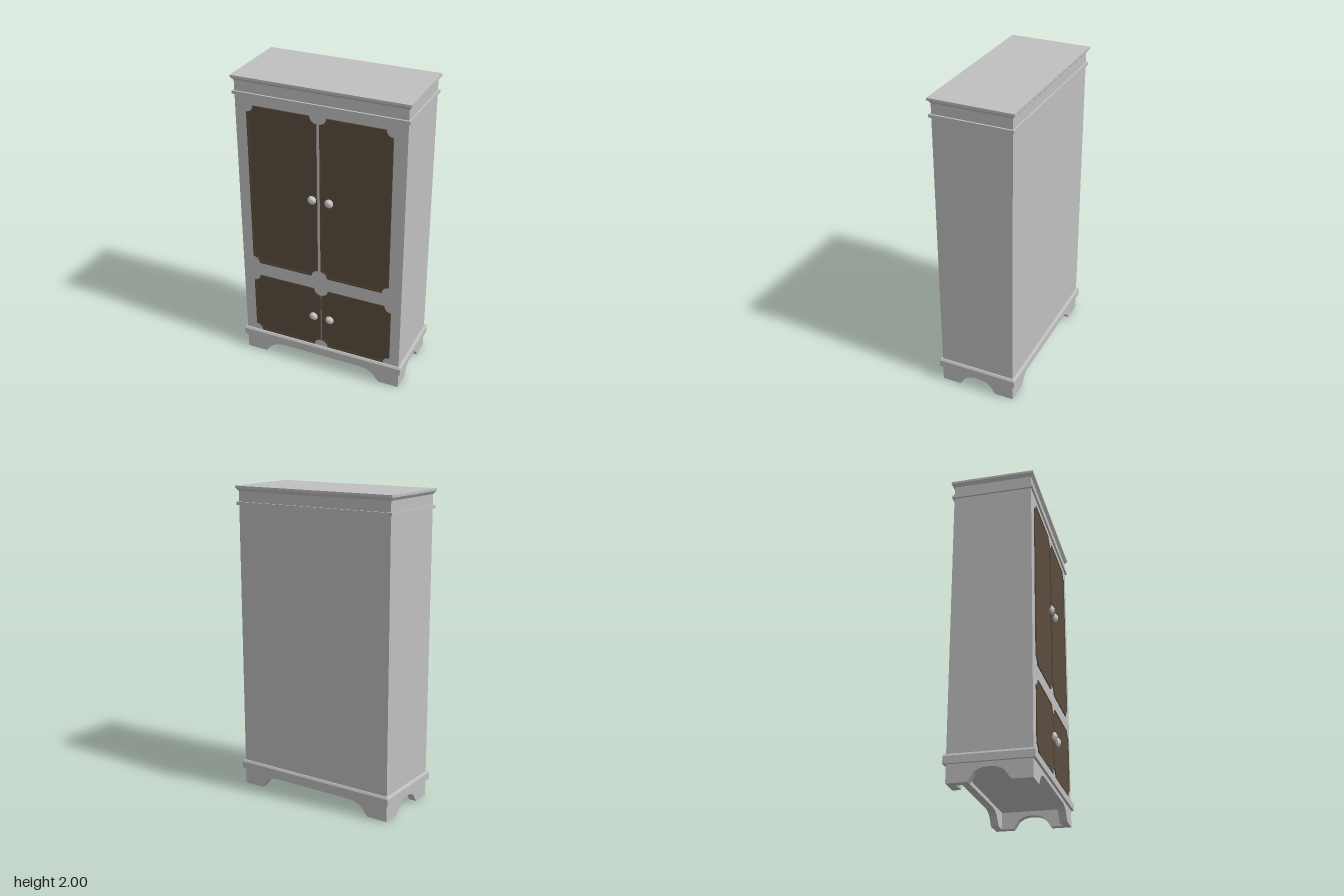
import * as THREE from 'three';

const paint = new THREE.MeshStandardMaterial({ color: 0xc0c0c0 });
paint.name = 'grey paint';
const wood = new THREE.MeshStandardMaterial({ color: 0x5b4d3f });
wood.name = 'brown wood';
const knobMat = new THREE.MeshStandardMaterial({ color: 0xd4d4d4, flatShading: true });
knobMat.name = 'pale knob';

const HX = 0.553, HZ = 0.25, CZ = -0.012; // carcass half width, half depth, centre
const FRONT = CZ + HZ;

function add(group, name, geo, mat, x = 0, y = 0, z = 0) {
  const m = new THREE.Mesh(geo, mat);
  m.name = name;
  m.position.set(x, y, z);
  group.add(m);
  return m;
}

// Box from y0 to y1 that overhangs the carcass by o0 at the bottom and o1 at the top
function course(group, name, y0, y1, o0, o1) {
  const g = new THREE.BoxGeometry(2, y1 - y0, 2).toNonIndexed();
  const p = g.attributes.position;
  for (let i = 0; i < p.count; i++) {
    const o = p.getY(i) > 0 ? o1 : o0;
    p.setX(i, p.getX(i) * (HX + o));
    p.setZ(i, p.getZ(i) * (HZ + o));
  }
  g.computeVertexNormals();
  add(group, name, g, paint, 0, (y0 + y1) / 2, CZ);
}

// Skirt board with an arched cut-out between two feet
function skirt(half, open, flat, rise, thick) {
  const s = new THREE.Shape();
  s.moveTo(-half, 0);
  s.lineTo(-open, 0);
  const n = 4, run = open - flat;
  const arc = [[0.2, 0.35], [0.38, 0.66], [0.65, 0.88], [1, 1]];
  for (let i = 0; i < n; i++) s.lineTo(-open + run * arc[i][0], rise * arc[i][1]);
  for (let i = n - 1; i >= 0; i--) s.lineTo(open - run * arc[i][0], rise * arc[i][1]);
  s.lineTo(open, 0);
  s.lineTo(half, 0);
  s.lineTo(half, 0.115);
  s.lineTo(-half, 0.115);
  s.closePath();
  return new THREE.ExtrudeGeometry(s, { depth: thick, bevelEnabled: false });
}

// Rectangle with scooped corners, inset by d
function scooped(Type, x0, x1, y0, y1, d) {
  const r = 0.045, a = Math.asin(d / (r + d)), R = r + d;
  const s = new Type();
  const corners = [[x0, y0, 0], [x1, y0, 1], [x1, y1, 2], [x0, y1, 3]];
  const pts = [];
  for (const [cx, cy, q] of corners) {
    for (let i = 0; i <= 6; i++) {
      const t = q * Math.PI / 2 + Math.PI / 2 - a - (Math.PI / 2 - 2 * a) * (i / 6);
      pts.push(new THREE.Vector2(cx + R * Math.cos(t), cy + R * Math.sin(t)));
    }
  }
  s.setFromPoints(pts);
  s.closePath();
  return s;
}

function door(group, name, x0, x1, y0, y1) {
  const panel = scooped(THREE.Shape, x0, x1, y0, y1, 0.008);
  add(group, name + 'Panel', new THREE.ExtrudeGeometry(panel, { depth: 0.006, bevelEnabled: false }),
    wood, 0, 0, FRONT - 0.002);
  const rim = scooped(THREE.Shape, x0, x1, y0, y1, 0);
  rim.holes.push(scooped(THREE.Path, x0, x1, y0, y1, 0.011));
  add(group, name + 'Rim', new THREE.ExtrudeGeometry(rim, { depth: 0.009, bevelEnabled: false }),
    wood, 0, 0, FRONT - 0.002);
}

export function createModel() {
  const model = new THREE.Group();
  model.name = 'cabinet';

  // Carcass and mouldings
  course(model, 'carcass', 0.165, 1.885, 0, 0);
  course(model, 'plinthMoulding', 0.11, 0.155, 0.016, 0.016);
  course(model, 'plinthBevel', 0.155, 0.168, 0.016, 0.008);
  course(model, 'lowerCornice', 1.88, 1.9, 0.012, 0.012);
  course(model, 'frieze', 1.9, 1.966, 0, 0);
  course(model, 'corniceFlare', 1.966, 1.985, 0.001, 0.014);
  course(model, 'top', 1.985, 2, 0.017, 0.017);

  // Arched skirt on four sides
  const t = 0.05;
  const long = skirt(HX, 0.415, 0.29, 0.085, t);
  const short = skirt(HZ, 0.125, 0.03, 0.08, t);
  add(model, 'frontSkirt', long, paint, 0, 0, FRONT - t);
  add(model, 'backSkirt', long, paint, 0, 0, CZ - HZ);
  add(model, 'leftSkirt', short, paint, HX - t, 0, CZ).rotation.y = Math.PI / 2;
  add(model, 'rightSkirt', short, paint, -HX, 0, CZ).rotation.y = Math.PI / 2;

  // Doors
  door(model, 'upperRightDoor', -0.477, -0.015, 0.715, 1.823);
  door(model, 'upperLeftDoor', 0.005, 0.468, 0.715, 1.823);
  door(model, 'lowerRightDoor', -0.477, 0.002, 0.175, 0.62);
  door(model, 'lowerLeftDoor', 0.008, 0.488, 0.175, 0.62);

  // Faceted knobs
  const profile = [[0, 0], [0.013, 0], [0.029, 0.012], [0.029, 0.017], [0.014, 0.029], [0, 0.031]]
    .map(([r, h]) => new THREE.Vector2(r, h));
  const knob = new THREE.LatheGeometry(profile, 10).rotateX(Math.PI / 2);
  for (const y of [1.275, 0.41]) {
    for (const x of [-0.043, 0.071]) add(model, 'knob', knob, knobMat, x, y, FRONT + 0.004);
  }
  return model;
}
